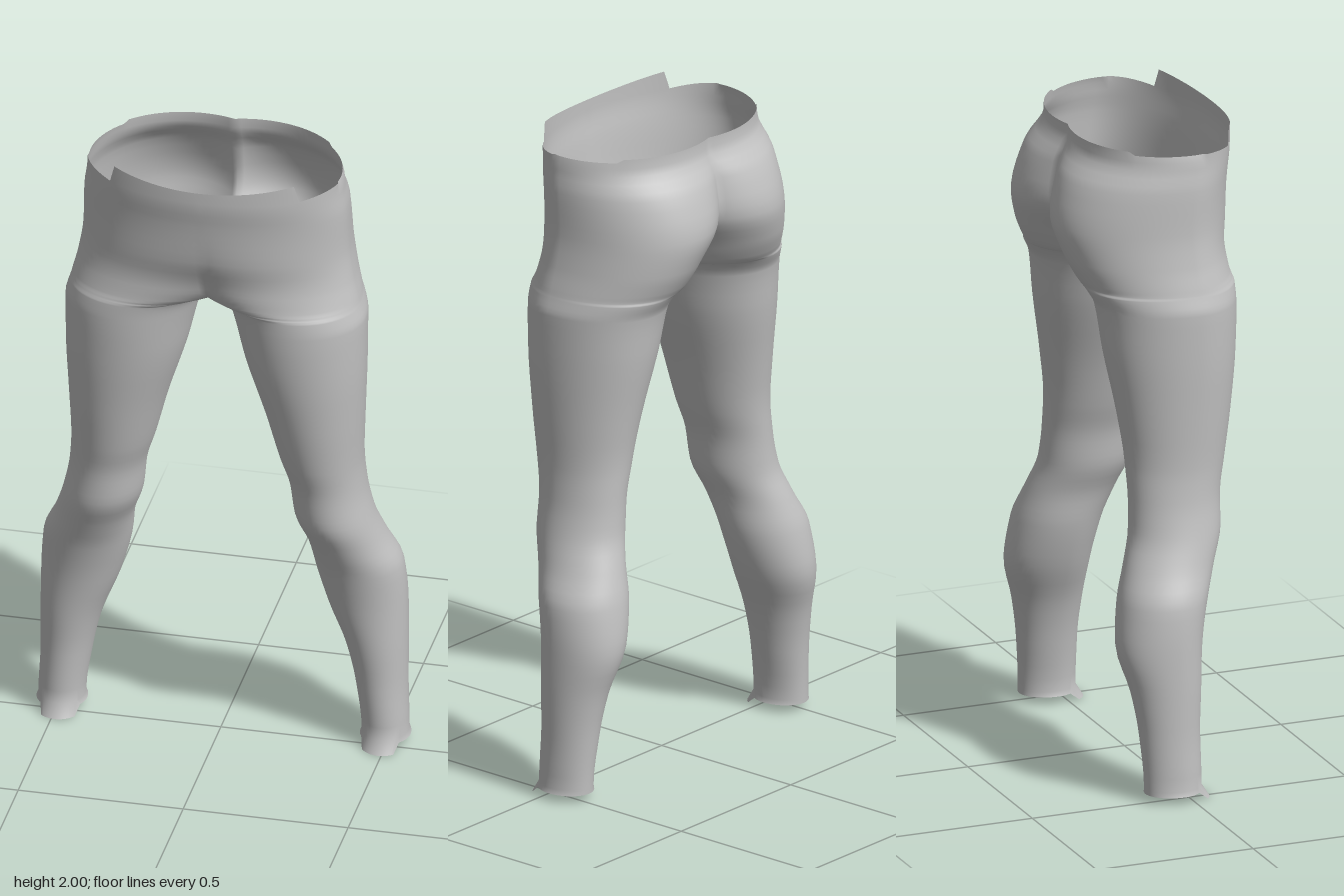
import * as THREE from 'three';
import { mergeVertices } from 'three/addons/utils/BufferGeometryUtils.js';

// Sections of one leg and its half of the hips, from ankle to waist:
// [y, outer x, inner x of front half, inner x of back half, front z, back z, z of widest point]
// A negative inner x means the section is cut off at the centre plane.
const SECTIONS = [
  [0.04, 0.56, 0.42, 0.42, 0.04, -0.135, -0.04],
  [0.2, 0.555, 0.4, 0.4, 0.04, -0.145, -0.05],
  [0.33, 0.555, 0.37, 0.37, 0.048, -0.165, -0.05],
  [0.47, 0.553, 0.315, 0.315, 0.06, -0.2, -0.05],
  [0.6, 0.543, 0.28, 0.28, 0.085, -0.185, -0.04],
  [0.7, 0.5, 0.265, 0.265, 0.12, -0.155, -0.01],
  [0.8, 0.467, 0.232, 0.232, 0.155, -0.125, 0.02],
  [0.9, 0.447, 0.22, 0.22, 0.16, -0.12, 0.03],
  [1.0, 0.44, 0.19, 0.19, 0.18, -0.122, 0.04],
  [1.15, 0.445, 0.15, 0.15, 0.205, -0.14, 0.05],
  [1.34, 0.452, 0.09, 0.09, 0.228, -0.172, 0.06],
  [1.48, 0.453, 0.055, 0.055, 0.235, -0.19, 0.06],
  [1.53, 0.44, 0.035, 0.035, 0.235, -0.215, 0.06],
  [1.54, 0.437, 0, 0, 0.235, -0.22, 0.06],
  [1.56, 0.432, -0.06, -0.015, 0.233, -0.232, 0.06],
  [1.62, 0.417, -0.15, -0.04, 0.232, -0.26, 0.055],
  [1.72, 0.402, -0.3, -0.1, 0.255, -0.285, 0.05],
  [1.85, 0.397, -0.39, -0.14, 0.272, -0.25, 0.06],
  [1.94, 0.385, -0.385, -0.2, 0.285, -0.195, 0.07],
];
const HALF = 28; // columns in each of the front and back arcs
const STEPS = 4; // rings between two sections

// Smooth interpolation between sections without overshoot
function slope(i, k) {
  if (i === 0 || i === SECTIONS.length - 1) return 0;
  const d = (j) => (SECTIONS[j + 1][k] - SECTIONS[j][k]) / (SECTIONS[j + 1][0] - SECTIONS[j][0]);
  const a = d(i - 1), b = d(i);
  return a * b <= 0 ? 0 : (2 * a * b) / (a + b);
}

function sectionBetween(i, t) {
  const a = SECTIONS[i], b = SECTIONS[i + 1], h = b[0] - a[0];
  return a.map((v, k) => {
    if (k === 0) return v + h * t;
    const t2 = t * t, t3 = t2 * t;
    return v * (2 * t3 - 3 * t2 + 1) + slope(i, k) * h * (t3 - 2 * t2 + t)
      + b[k] * (3 * t2 - 2 * t3) + slope(i + 1, k) * h * (t3 - t2);
  });
}

// One ring: front inner end, round the outside, to the back inner end
function ring([y, xo, xiFront, xiBack, zf, zb, cz]) {
  const arcPoint = (xi, depth, f) => {
    const cx = (xo + xi) / 2, r = (xo - xi) / 2;
    const a = f * (xi < 0 ? Math.acos(-cx / r) : Math.PI);
    const x = cx + r * Math.cos(a);
    return [Math.abs(x) < 1e-6 ? 0 : x, y, cz + depth * Math.sin(a)];
  };
  const points = [];
  for (let j = HALF; j > 0; j--) points.push(arcPoint(xiFront, zf - cz, j / HALF));
  for (let j = 0; j <= HALF; j++) points.push(arcPoint(xiBack, zb - cz, j / HALF));
  return points;
}

// Waist edge: raised front panel with a step at each side
function waistEdge([x, y, z]) {
  if (z > 0.1 && x < 0.285) return [x, 1.975 + 0.025 * (x / 0.28) ** 2, z];
  if (z > 0.1) return [x, 1.943 + 0.17 * (x - 0.285), z];
  return [x * 0.985, z < -0.1 ? 1.97 : 1.96, z];
}

// Ankle edge: short flared tab at the front
function ankleEdge([x, y, z]) {
  const tab = z > 0 && Math.abs(x - 0.485) < 0.05;
  return tab ? [x, 0, z + 0.025] : [x + (x - 0.49) * 0.08, 0.025, z];
}

function leggingsGeometry() {
  const rings = [];
  for (let i = 0; i < SECTIONS.length - 1; i++) {
    for (let s = 0; s < STEPS; s++) rings.push(ring(sectionBetween(i, s / STEPS)));
  }
  rings.push(ring(SECTIONS[SECTIONS.length - 1]));
  rings.unshift(rings[0].map(ankleEdge));
  rings.push(rings[rings.length - 1].map(waistEdge));

  // Both mirrored halves share one vertex list so the centre seam is smooth
  const positions = [], indices = [];
  const width = 2 * HALF + 1;
  for (const side of [1, -1]) {
    const base = positions.length / 3;
    for (const points of rings) for (const [x, y, z] of points) positions.push(side * x, y, z);
    for (let r = 0; r < rings.length - 1; r++) {
      for (let c = 0; c < width - 1; c++) {
        const a = base + r * width + c, b = a + 1, d = a + width, e = d + 1;
        if (side > 0) indices.push(a, b, e, a, e, d);
        else indices.push(a, e, b, a, d, e);
      }
    }
  }
  const geometry = new THREE.BufferGeometry();
  geometry.setAttribute('position', new THREE.Float32BufferAttribute(positions, 3));
  geometry.setIndex(indices);
  const merged = mergeVertices(geometry, 1e-5);
  merged.computeVertexNormals();
  return merged;
}

export function createModel() {
  const fabric = new THREE.MeshStandardMaterial({ color: 0xc0c0c0, side: THREE.DoubleSide });
  fabric.name = 'light grey fabric';
  const leggings = new THREE.Mesh(leggingsGeometry(), fabric);
  leggings.name = 'leggings';
  const model = new THREE.Group();
  model.name = 'leggings model';
  model.add(leggings);
  return model;
}
